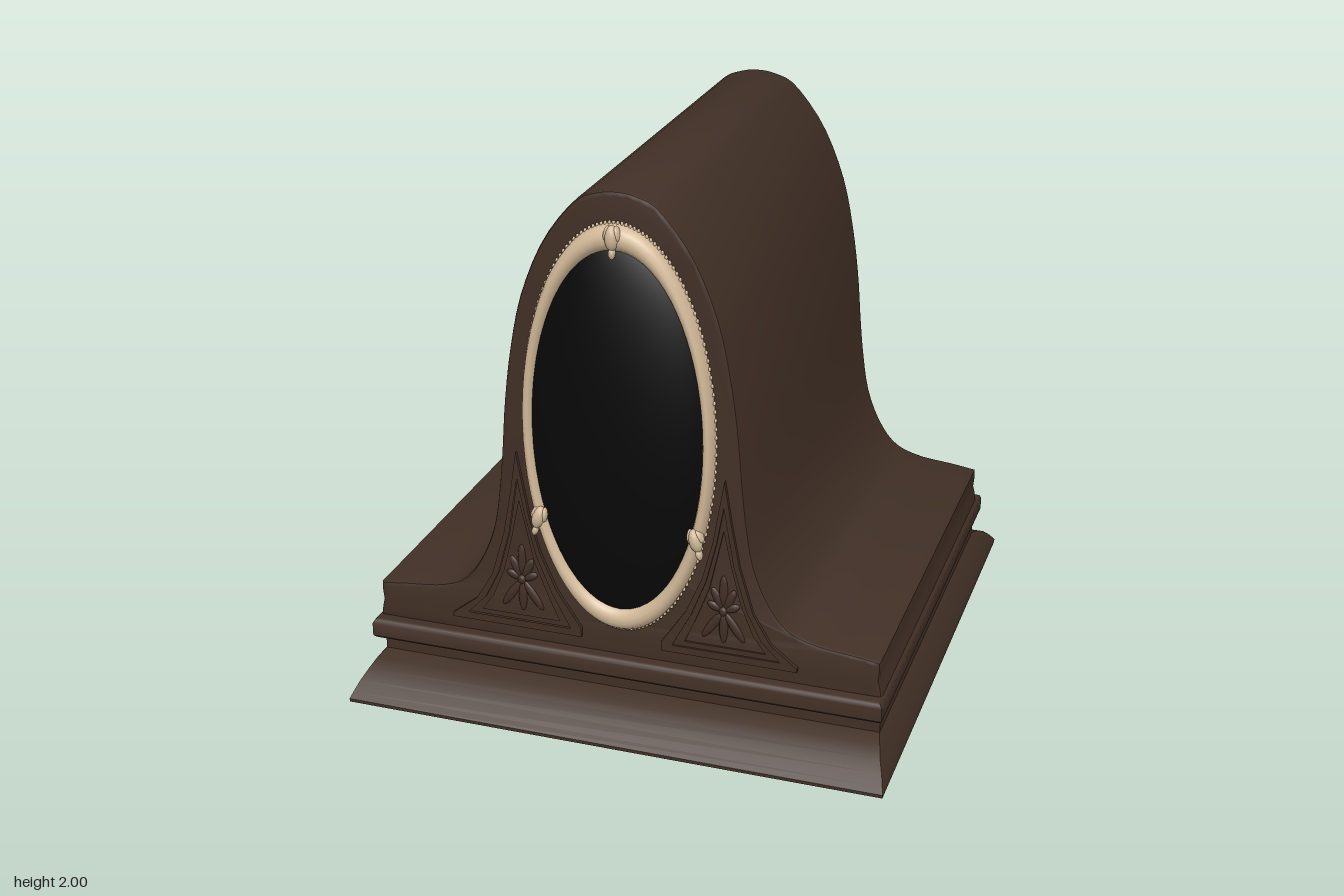
import * as THREE from 'three';
import { mergeGeometries, toCreasedNormals } from 'three/addons/utils/BufferGeometryUtils.js';

const material = (name, color) => Object.assign(new THREE.MeshStandardMaterial({ color }), { name });
const V = (p) => new THREE.Vector2(...p);
const mirror = ([x, y]) => [-x, y];

// Stacked rectangles [y, halfWidth, halfDepth], closed at both ends
function loftRects(rings) {
  const pos = [], idx = [];
  for (const [y, w, d] of rings) pos.push(w, y, d, w, y, -d, -w, y, -d, -w, y, d);
  for (let i = 0; i < rings.length - 1; i++) {
    for (let j = 0; j < 4; j++) {
      const a = i * 4 + j, b = i * 4 + (j + 1) % 4;
      idx.push(a, b, b + 4, a, b + 4, a + 4);
    }
  }
  const t = (rings.length - 1) * 4;
  idx.push(0, 2, 1, 0, 3, 2, t, t + 1, t + 2, t, t + 2, t + 3);
  const g = new THREE.BufferGeometry();
  g.setAttribute('position', new THREE.Float32BufferAttribute(pos, 3));
  g.setIndex(idx);
  return toCreasedNormals(g, 0.7);
}

function extrude(shape, depth, bevel, z) {
  const g = new THREE.ExtrudeGeometry(shape, {
    depth: depth - 2 * bevel, bevelEnabled: bevel > 0, bevelThickness: bevel,
    bevelSize: bevel, bevelOffset: -bevel, bevelSegments: 2, curveSegments: 24,
  });
  g.translate(0, 0, z + bevel);
  return toCreasedNormals(g, 0.6);
}

// Ellipsoid geometry placed at a point and turned about z
function blob(x, y, z, sx, sy, sz, turn = 0, detail = 10) {
  return new THREE.SphereGeometry(1, detail, Math.max(4, detail * 0.7 | 0))
    .scale(sx, sy, sz).rotateZ(turn).translate(x, y, z);
}

export function createModel() {
  const wood = material('dark wood', 0x402f25);
  const ivory = material('ivory', 0xd2b998);
  const black = material('black glass', 0x080808);
  const model = new THREE.Group();
  model.name = 'mantelClock';
  const add = (name, geometry, mat, parent = model) => {
    const m = new THREE.Mesh(geometry, mat);
    m.name = name;
    parent.add(m);
    return m;
  };

  // Moulded base with a projecting band
  add('base', loftRects([
    [0, 1, 1], [0.012, 1, 1], [0.03, 0.994, 0.98], [0.06, 0.982, 0.945], [0.09, 0.966, 0.905],
    [0.115, 0.952, 0.855], [0.13, 0.938, 0.8], [0.2, 0.938, 0.8], [0.203, 0.95, 0.857],
    [0.213, 0.957, 0.866], [0.262, 0.957, 0.866], [0.275, 0.95, 0.86], [0.28, 0.942, 0.85],
  ]), wood);

  // Arched case with sweeping shoulders
  const half = [[0.935, 0.412], [0.84, 0.426], [0.7, 0.443], [0.6, 0.485], [0.53, 0.58], [0.48, 0.71],
    [0.455, 0.86], [0.44, 1.0], [0.423, 1.2], [0.395, 1.4], [0.35, 1.6], [0.265, 1.8], [0.15, 1.95], [0.07, 1.99]];
  const arch = new THREE.SplineCurve([...half, [0, 2], ...half.map(mirror).reverse()].map(V)).getPoints(90);
  const foot = [[0.945, 0.27], [0.94, 0.31], [0.932, 0.34], [0.936, 0.38]];
  const caseShape = new THREE.Shape([...foot.map(V), ...arch, ...foot.map(mirror).reverse().map(V)]);
  add('case', extrude(caseShape, 1.636, 0.014, -0.818), wood);

  // Back door and its knob
  const door = new THREE.Shape();
  door.moveTo(-0.35, 0.42);
  door.lineTo(0.35, 0.42);
  door.lineTo(0.35, 1.15);
  door.absellipse(0, 1.15, 0.35, 0.7, 0, Math.PI, false);
  door.closePath();
  add('backDoor', extrude(door, 0.034, 0.004, -0.843), wood);
  add('doorKnob', mergeGeometries([
    blob(0.16, 1.16, -0.842, 0.026, 0.045, 0.01),
    blob(0.16, 1.16, -0.846, 0.014, 0.014, 0.009),
  ]), wood);

  // Domed oval glass
  const cy = 1.142, cap = 1.1;
  const dome = new THREE.SphereGeometry(1, 48, 16, 0, Math.PI * 2, 0, cap).rotateX(Math.PI / 2);
  dome.translate(0, 0, -Math.cos(cap))
    .scale(0.315 / Math.sin(cap), 0.675 / Math.sin(cap), 0.08 / (1 - Math.cos(cap)));
  add('glass', dome.translate(0, cy, 0.84), black);

  // Oval bezel with a beaded outer edge
  const bezel = add('bezel', new THREE.TorusGeometry(1, 0.067, 14, 72), ivory);
  bezel.scale.set(0.325, 0.705, 0.75);
  bezel.position.set(0, cy, 0.818);
  const beads = [];
  for (let i = 0; i < 150; i++) {
    const a = i / 150 * Math.PI * 2;
    beads.push(blob(Math.cos(a) * 0.347, cy + Math.sin(a) * 0.753, 0.822, 0.006, 0.008, 0.008, 0, 6));
  }
  add('bezelBeads', mergeGeometries(beads), ivory);

  // Three small carved clasps on the bezel
  for (const [x, y, turn] of [[0, 1.845, 0], [0.29, 0.79, 0.25], [-0.29, 0.79, -0.25]]) {
    const clasp = add('bezelClasp', mergeGeometries([
      blob(0, 0.01, 0, 0.024, 0.044, 0.026),
      blob(0, -0.042, 0, 0.012, 0.022, 0.018),
      blob(0.018, 0.025, -0.004, 0.011, 0.028, 0.02, 0.2),
      blob(-0.018, 0.025, -0.004, 0.011, 0.028, 0.02, -0.2),
    ]), ivory);
    clasp.position.set(x, y, 0.862);
    clasp.rotation.z = turn;
  }

  // Carved corner panels: stepped three-sided frame around a flower
  const outline = (sx, pts) => pts.map(([x, y]) => V([x * sx, y]));
  const outer = [[0.15, 0.33], [0.645, 0.33], [0.645, 0.345], [0.55, 0.42], [0.485, 0.53], [0.435, 0.7],
    [0.405, 0.86], [0.38, 1.02], [0.362, 0.92], [0.338, 0.78], [0.3, 0.64], [0.24, 0.5], [0.15, 0.365]];
  const middle = [[0.19, 0.358], [0.585, 0.358], [0.515, 0.43], [0.46, 0.54], [0.415, 0.7],
    [0.378, 0.92], [0.352, 0.78], [0.315, 0.63], [0.26, 0.49]];
  const inner = [[0.235, 0.378], [0.53, 0.378], [0.485, 0.44], [0.44, 0.55], [0.403, 0.7],
    [0.376, 0.83], [0.356, 0.74], [0.325, 0.6], [0.275, 0.47]];
  for (const s of [1, -1]) {
    const panel = new THREE.Group();
    panel.name = s > 0 ? 'leftPanel' : 'rightPanel';
    model.add(panel);
    const frame = (name, a, b, depth) => {
      const shape = new THREE.Shape(outline(s, a));
      shape.holes.push(new THREE.Path(outline(s, b)));
      add(name, extrude(shape, depth, 0, 0.812), wood, panel);
    };
    frame('outerFrame', outer, middle, 0.02);
    frame('innerFrame', middle, inner, 0.013);
    const fx = 0.375 * s, fy = 0.52;
    const petals = [blob(fx, fy, 0.822, 0.016, 0.018, 0.012)];
    for (const [angle, length] of [[0, 0.13], [0.45, 0.09], [-0.45, 0.09], [1.15, 0.06], [-1.15, 0.06],
      [Math.PI, 0.12], [2.55, 0.13], [-2.55, 0.13]]) {
      const r = length * 0.56;
      petals.push(blob(fx - Math.sin(angle) * r, fy + Math.cos(angle) * r, 0.818,
        0.016, length / 2, 0.01, angle));
    }
    add('flower', mergeGeometries(petals), wood, panel);
  }
  return model;
}
